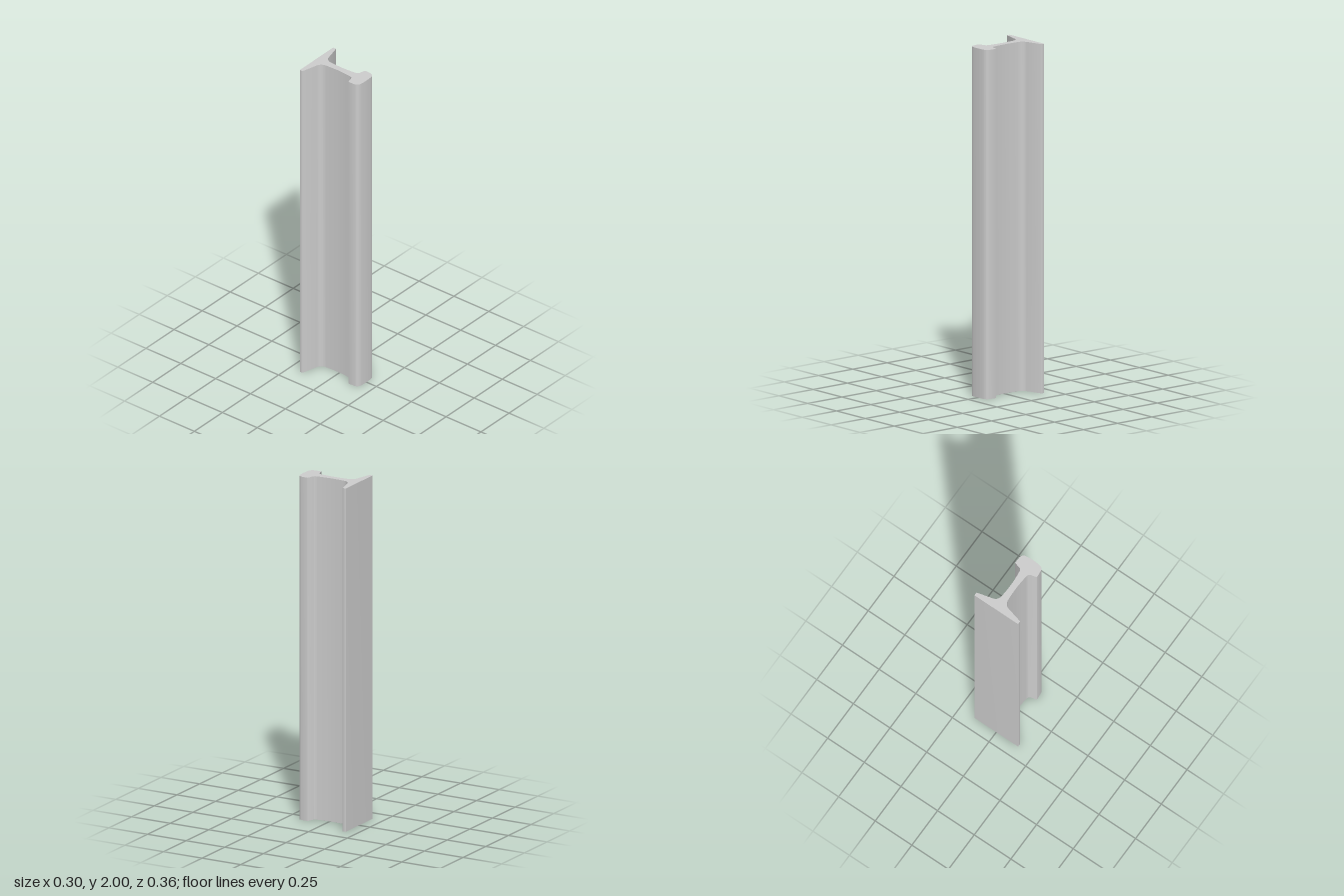
import * as THREE from 'three';
import { toCreasedNormals } from 'three/addons/utils/BufferGeometryUtils.js';

const LENGTH = 2;

// Half of the rail section: x is the half width, y runs from head (-) to foot (+)
function halfSection() {
  const p = new THREE.Path();
  p.moveTo(0, -0.179);
  // crown, rounded corner and side of the head
  p.quadraticCurveTo(0.027, -0.179, 0.046, -0.176);
  p.bezierCurveTo(0.061, -0.174, 0.07, -0.166, 0.072, -0.15);
  p.lineTo(0.0745, -0.111);
  p.quadraticCurveTo(0.0745, -0.109, 0.073, -0.108);
  // underside of the head and fillet into the web
  p.lineTo(0.038, -0.099);
  p.bezierCurveTo(0.029, -0.096, 0.024, -0.088, 0.0235, -0.074);
  // waisted web
  p.quadraticCurveTo(0.018, -0.026, 0.0178, 0.012);
  p.quadraticCurveTo(0.018, 0.055, 0.0215, 0.097);
  // fillet onto the sloping top of the foot
  p.bezierCurveTo(0.024, 0.118, 0.036, 0.131, 0.056, 0.136);
  // foot tip with small rounded corners
  p.lineTo(0.146, 0.159);
  p.quadraticCurveTo(0.149, 0.16, 0.149, 0.163);
  p.lineTo(0.149, 0.178);
  p.quadraticCurveTo(0.149, 0.18, 0.147, 0.18);
  return p.getPoints(10);
}

export function createModel() {
  const model = new THREE.Group();
  model.name = 'railSection';

  // Mirror the half section into a closed outline
  const half = halfSection();
  const mirrored = half.slice(1).reverse().map((v) => new THREE.Vector2(-v.x, v.y));
  const outline = new THREE.Shape([...half, ...mirrored]);

  // Extrude and stand the rail upright, head towards the front
  const solid = new THREE.ExtrudeGeometry(outline, { depth: LENGTH, bevelEnabled: false });
  solid.rotateX(-Math.PI / 2);

  const rail = new THREE.Mesh(
    toCreasedNormals(solid, 0.6),
    new THREE.MeshStandardMaterial({ color: 0xcccccc })
  );
  rail.name = 'rail';
  model.add(rail);
  return model;
}
